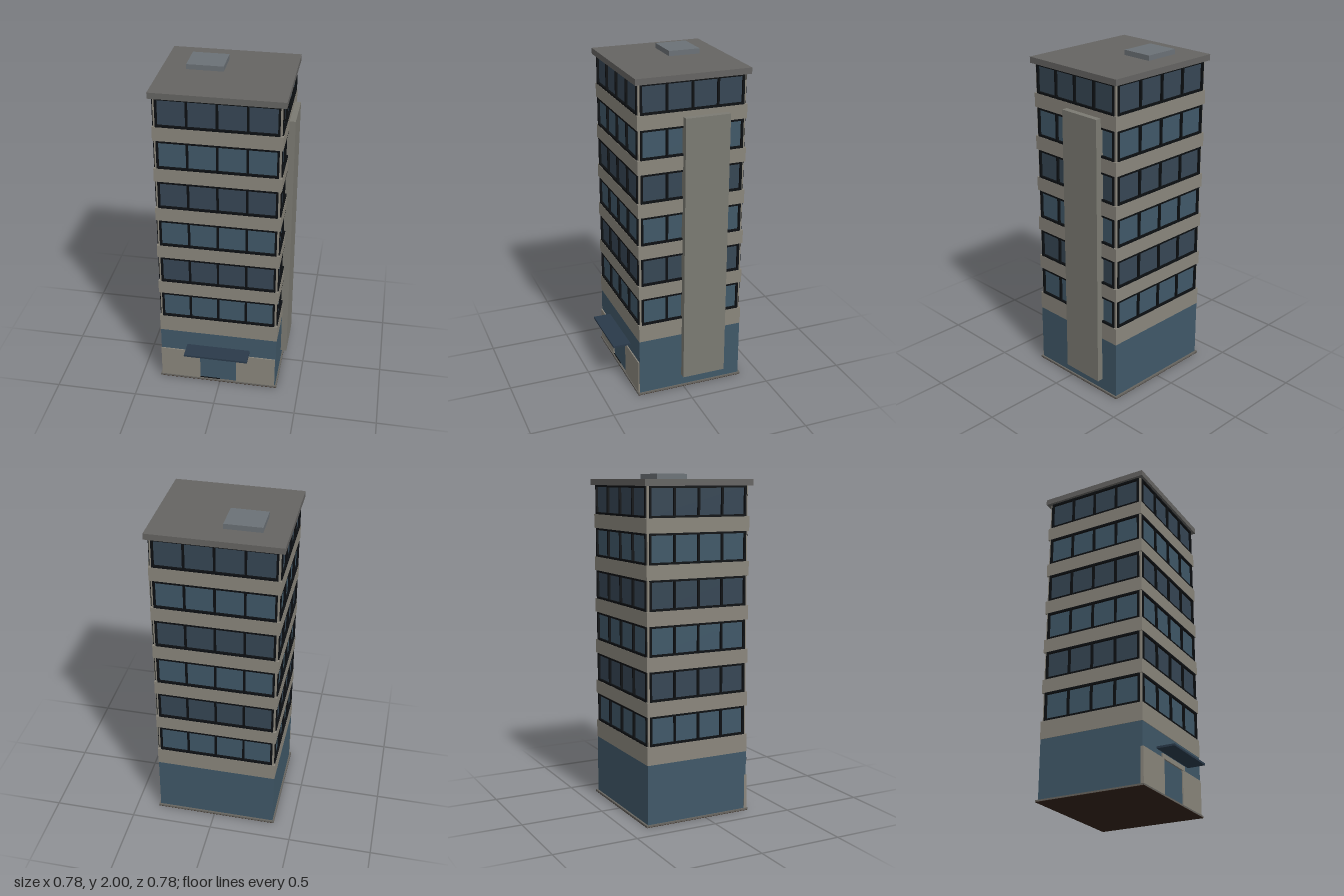
import * as THREE from 'three';

const mat = (color) => new THREE.MeshStandardMaterial({ color });
const M = {
  wall: mat(0x8a867c), shaft: mat(0x7b7a72), roof: mat(0x656462), vent: mat(0x6b7176),
  glassA: mat(0x405868), glassB: mat(0x364654), frame: mat(0x0c0f12),
  canopy: mat(0x2a3a4a), earth: mat(0x33241a), base: mat(0x66645f),
};

// Box given by its lower and upper corners
function box(parent, name, material, [x0, y0, z0], [x1, y1, z1]) {
  const mesh = new THREE.Mesh(new THREE.BoxGeometry(x1 - x0, y1 - y0, z1 - z0), material);
  mesh.position.set((x0 + x1) / 2, (y0 + y1) / 2, (z0 + z1) / 2);
  mesh.name = name;
  parent.add(mesh);
  return mesh;
}

// Centred storey-high block
const block = (parent, name, material, hx, hz, y0, y1) =>
  box(parent, name, material, [-hx, y0, -hz], [hx, y1, hz]);

const HX = 0.365, HZ = 0.328, FLOORS = 6, STEP = 0.2575, FIRST = 0.473, WINDOW = 0.174;

// Four-pane window frame lying in the xy plane, facing +z
function windowFrame(halfWidth, height, depth) {
  const g = new THREE.Group(), t = 0.012;
  g.name = 'windowFrame';
  for (const y of [0, height - t])
    box(g, 'rail', M.frame, [-halfWidth, y, -depth], [halfWidth, y + t, 0]);
  for (let i = 0; i <= 4; i++) {
    const x = (i / 2 - 1) * (halfWidth - t / 2);
    box(g, 'mullion', M.frame, [x - t / 2, t, -depth], [x + t / 2, height - t, 0]);
  }
  return g;
}

// One storey: glass core, corner posts and a frame on each side
function storey(index) {
  const g = new THREE.Group();
  g.name = 'storey';
  block(g, 'glass', index % 2 ? M.glassB : M.glassA, HX - 0.014, HZ - 0.014, 0, WINDOW);
  for (const sx of [-1, 1]) for (const sz of [-1, 1]) {
    const post = block(g, 'cornerPost', M.wall, 0.01, 0.01, 0, WINDOW);
    post.position.x = sx * (HX - 0.018);
    post.position.z = sz * (HZ - 0.018);
  }
  for (let side = 0; side < 4; side++) {
    const along = side % 2 ? HZ : HX, out = side % 2 ? HX : HZ;
    const frame = windowFrame(along - 0.019, WINDOW, 0.016);
    const a = side * Math.PI / 2;
    frame.rotation.y = a;
    frame.position.set(Math.sin(a) * (out - 0.001), 0, Math.cos(a) * (out - 0.001));
    g.add(frame);
  }
  g.position.y = FIRST + index * STEP;
  return g;
}

export function createModel() {
  const model = new THREE.Group();
  model.name = 'officeTower';

  // Tower, off-centre because of the shaft and the canopy
  const tower = new THREE.Group();
  tower.name = 'tower';
  tower.position.set(-0.01, 0, -0.045);
  model.add(tower);
  block(tower, 'earth', M.earth, 0.373, 0.338, 0, 0.002);
  block(tower, 'plinth', M.base, 0.373, 0.338, 0.002, 0.012);
  block(tower, 'groundFloorGlass', M.glassA, HX - 0.002, HZ - 0.002, 0.012, 0.365);

  // Storeys and the wall bands beneath them
  for (let i = 0; i < FLOORS; i++) {
    const y = FIRST + i * STEP;
    block(tower, 'wallBand', M.wall, HX, HZ, i ? y - STEP + WINDOW : 0.365, y);
    tower.add(storey(i));
  }

  // Roof slab and roof hatch
  block(tower, 'roof', M.roof, 0.38, 0.342, 1.9345, 1.97);
  box(model, 'roofHatch', M.vent, [-0.247, 1.97, -0.245], [-0.032, 2, -0.055]);

  // Shaft on the side
  box(model, 'sideShaft', M.shaft, [0.335, 0.08, -0.257], [0.39, 1.727, 0.012]);

  // Entrance
  const entrance = new THREE.Group();
  entrance.name = 'entrance';
  model.add(entrance);
  box(entrance, 'entranceWall', M.wall, [-0.374, 0.012, 0.27], [-0.127, 0.22, 0.288]);
  box(entrance, 'entranceWall', M.wall, [0.105, 0.012, 0.27], [0.348, 0.22, 0.288]);
  box(entrance, 'lintel', M.wall, [-0.148, 0.217, 0.27], [0.13, 0.245, 0.29]);
  box(entrance, 'threshold', M.frame, [-0.127, 0.012, 0.27], [0.0, 0.017, 0.285]);
  box(entrance, 'canopy', M.canopy, [-0.207, 0.255, 0.27], [0.188, 0.267, 0.39]);
  return model;
}
